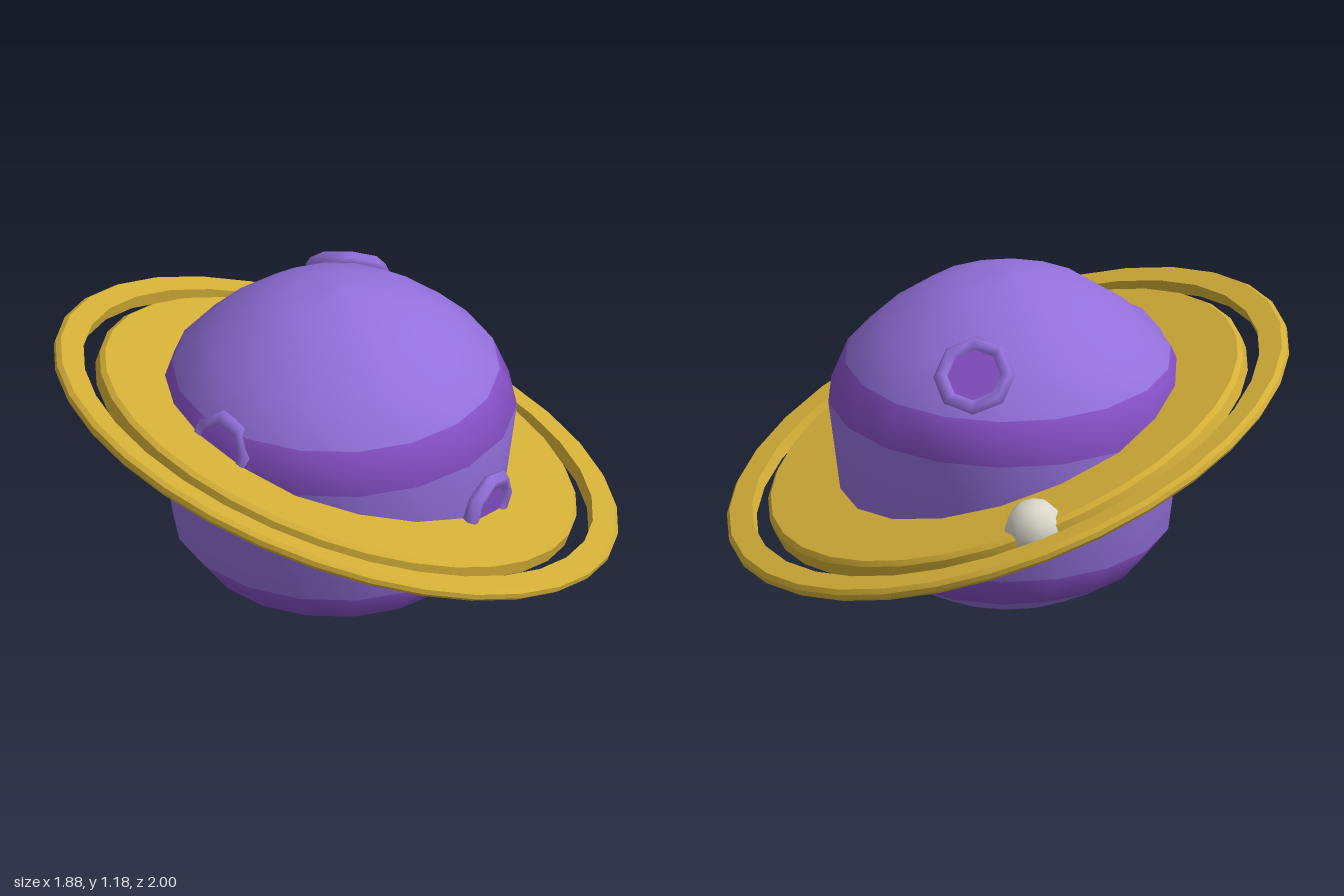
import * as THREE from 'three';
import { toCreasedNormals } from 'three/addons/utils/BufferGeometryUtils.js';

const material = (name, color) => Object.assign(new THREE.MeshStandardMaterial({ color }), { name });

const CENTRE = 0.595;

// Lathe with a vertex on the x axis; points run counterclockwise as (radius, height)
function lathe(points, sides) {
  const g = new THREE.LatheGeometry(points.map(([r, y]) => new THREE.Vector2(r, y)), sides);
  return g.rotateY(Math.PI / 2);
}

// Reorder a lathe so that each row of faces becomes a group with its own material
function groupRows(g, rows, sides, rowMaterial) {
  const old = g.index.array;
  const index = [];
  for (let row = 0; row < rows; row++) {
    const start = index.length;
    for (let s = 0; s < sides; s++) {
      const at = (s * rows + row) * 6;
      index.push(...old.slice(at, at + 6));
    }
    g.addGroup(start, index.length - start, rowMaterial(row));
  }
  g.setIndex(index);
  return g;
}

export function createModel() {
  const lilac = material('lilac', 0x9370db);
  const violet = material('violet', 0x8650c6);
  const gold = material('gold', 0xd4af37);
  const stone = material('pale stone', 0xdcd8cc);

  const model = new THREE.Group();
  model.name = 'ringedPlanet';
  const add = (parent, name, geometry, mat) => {
    const mesh = new THREE.Mesh(geometry, mat);
    mesh.name = name;
    parent.add(mesh);
    return mesh;
  };

  // Planet body with two darker bands
  const profile = [
    [0, 0], [0.155, 0.02], [0.3, 0.085], [0.455, 0.175], [0.55, 0.3],
    [0.607, 0.748], [0.55, 0.89], [0.435, 1.005], [0.3, 1.105], [0.155, 1.168], [0, 1.185],
  ];
  const rows = profile.length - 1;
  const body = groupRows(lathe(profile, 18), rows, 18, (row) => (row === 3 || row === 5 ? 1 : 0));
  add(model, 'planet', body, [lilac, violet]);

  // Tilted rings: a wide inner disc and a narrow outer hoop with chamfered rims
  const rings = new THREE.Group();
  rings.name = 'rings';
  rings.position.y = CENTRE;
  rings.rotation.z = -0.35;
  model.add(rings);
  const addRing = (name, inner, outer, half, bevel) => {
    const section = [
      [inner, -half], [outer - bevel, -half], [outer, -half + bevel],
      [outer, half - bevel], [outer - bevel, half], [inner, half], [inner, -half],
    ];
    add(rings, name, toCreasedNormals(lathe(section, 32), 0.4), gold);
  };
  addRing('innerRing', 0.5, 0.848, 0.037, 0.015);
  addRing('outerRing', 0.905, 1.0, 0.023, 0.014);

  // Small moon resting in the rings at the back
  const moon = add(model, 'moon', new THREE.SphereGeometry(0.102, 8, 6), stone);
  moon.position.set(0.01, 0.6, -0.775);

  // Craters: a raised rim around a dark floor, facing away from the planet's centre
  const craters = [
    [0.165, 0.405, -0.4],
    [0.385, -0.085, 0.43],
    [-0.5, 0.21, 0.275],
  ];
  craters.forEach((offset, i) => {
    const direction = new THREE.Vector3(...offset).normalize();
    const crater = new THREE.Group();
    crater.name = `crater${i + 1}`;
    crater.position.copy(direction).multiplyScalar(0.592);
    crater.position.y += CENTRE;
    crater.quaternion.setFromUnitVectors(new THREE.Vector3(0, 0, 1), direction);
    model.add(crater);
    add(crater, 'craterRim', new THREE.TorusGeometry(0.112, 0.029, 6, 8), lilac);
    add(crater, 'craterFloor', new THREE.CircleGeometry(0.112, 8), violet).position.z = 0.012;
  });

  return model;
}
